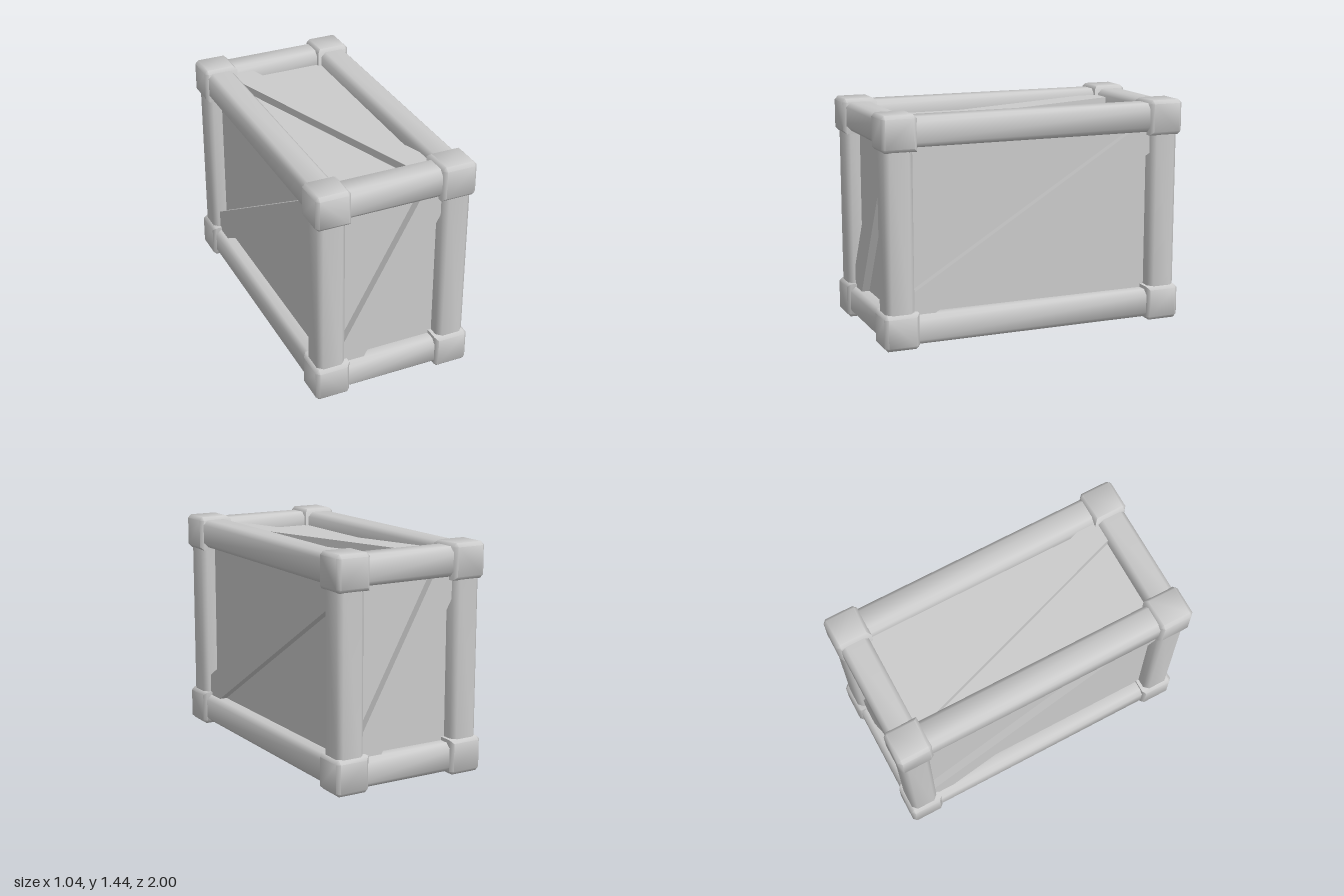
import * as THREE from 'three';
import { toCreasedNormals } from 'three/addons/utils/BufferGeometryUtils.js';
import { ConvexGeometry } from 'three/addons/geometries/ConvexGeometry.js';

const HALF = [0.518, 0.72, 1.0];   // half size of the crate in x, y, z
const BLOCK = 0.224;               // corner block size
const BEAM = 0.182;                // beam thickness
const INSET = 0.111;               // depth of beam centres and panels
const BRACE = 0.05;                // brace thickness
const CUT = 0.14;                  // where brace edges meet the opening, from its corners
const mat = new THREE.MeshStandardMaterial({ color: 0xcccccc });

const core = HALF.map((h) => h - INSET);        // beam centre lines
const opening = core.map((h) => h - BEAM / 2);  // clear half opening

function add(group, name, geometry) {
  const mesh = new THREE.Mesh(geometry, mat);
  mesh.name = name;
  group.add(mesh);
  return mesh;
}

// Block with chamfered outer edges; edges between two inward faces stay sharp
function cornerBlock(signs) {
  const h = BLOCK / 2, c = 0.022, points = [];
  for (const a of [-1, 1]) for (const b of [-1, 1]) for (const d of [-1, 1]) {
    const s = [a, b, d];
    const inner = [0, 1, 2].filter((i) => s[i] !== signs[i]);
    for (let i = 0; i < 3; i++) {
      const full = inner.includes(i) ? inner : [i];
      points.push(new THREE.Vector3(...s.map((v, k) => v * (full.includes(k) ? h : h - c))));
    }
  }
  const seen = new Set();
  const unique = points.filter((p) => {
    const key = p.toArray().map((v) => v.toFixed(4)).join();
    return !seen.has(key) && seen.add(key);
  });
  return toCreasedNormals(new ConvexGeometry(unique), 1.0);
}

// Square beam with softened edges, running along z
function beamGeometry(length) {
  const h = BEAM / 2, f = h - 0.03;
  const shape = new THREE.Shape([
    [h, -f], [h, f], [f, h], [-f, h], [-h, f], [-h, -f], [-f, -h], [f, -h],
  ].map(([x, y]) => new THREE.Vector2(x, y)));
  const geo = new THREE.ExtrudeGeometry(shape, { depth: length, bevelEnabled: false });
  geo.translate(0, 0, -length / 2);
  return toCreasedNormals(geo, 1.0);
}

// Diagonal brace from lower left to upper right of a u by v opening
function braceGeometry(u, v) {
  const shape = new THREE.Shape([
    [-u, -v], [-u + CUT, -v], [u, v - CUT], [u, v], [u - CUT, v], [-u, -v + CUT],
  ].map(([x, y]) => new THREE.Vector2(x, y)));
  return new THREE.ExtrudeGeometry(shape, { depth: BRACE, bevelEnabled: false });
}

export function createModel() {
  const crate = new THREE.Group();
  crate.name = 'crate';
  const body = new THREE.Group();
  body.name = 'body';
  body.position.y = HALF[1];
  crate.add(body);

  // Corner blocks
  for (const x of [-1, 1]) for (const y of [-1, 1]) for (const z of [-1, 1]) {
    const s = [x, y, z];
    const block = add(body, 'cornerBlock', cornerBlock(s));
    block.position.set(...s.map((v, i) => v * (HALF[i] - BLOCK / 2)));
  }

  // Four beams along each axis
  const beamNames = ['crossBeam', 'uprightBeam', 'longBeam'];
  for (let axis = 0; axis < 3; axis++) {
    const p = (axis + 1) % 3, q = (axis + 2) % 3;
    const geo = beamGeometry(2 * core[axis]);
    if (axis === 0) geo.rotateY(Math.PI / 2);
    if (axis === 1) geo.rotateX(-Math.PI / 2);
    for (const a of [-1, 1]) for (const b of [-1, 1]) {
      const pos = [0, 0, 0];
      pos[p] = a * core[p];
      pos[q] = b * core[q];
      add(body, beamNames[axis], geo).position.set(...pos);
    }
  }

  // Recessed panels, one closed box
  add(body, 'panels', new THREE.BoxGeometry(...core.map((h) => 2 * h)));

  // One brace on each face
  const [ox, oy, oz] = opening;
  const front = braceGeometry(ox, oy).translate(0, 0, core[2]);
  const side = braceGeometry(oz, oy).translate(0, 0, core[0]).rotateY(Math.PI / 2);
  // The top brace runs from back right to front left
  const top = braceGeometry(oz, ox).rotateZ(Math.PI / 2).translate(0, 0, core[1]).rotateX(-Math.PI / 2);
  const half = Math.PI;
  add(body, 'frontBrace', front);
  add(body, 'backBrace', front).rotation.y = half;
  add(body, 'leftBrace', side);
  add(body, 'rightBrace', side).rotation.y = half;
  add(body, 'topBrace', top);
  add(body, 'bottomBrace', top).rotation.z = half;

  return crate;
}
